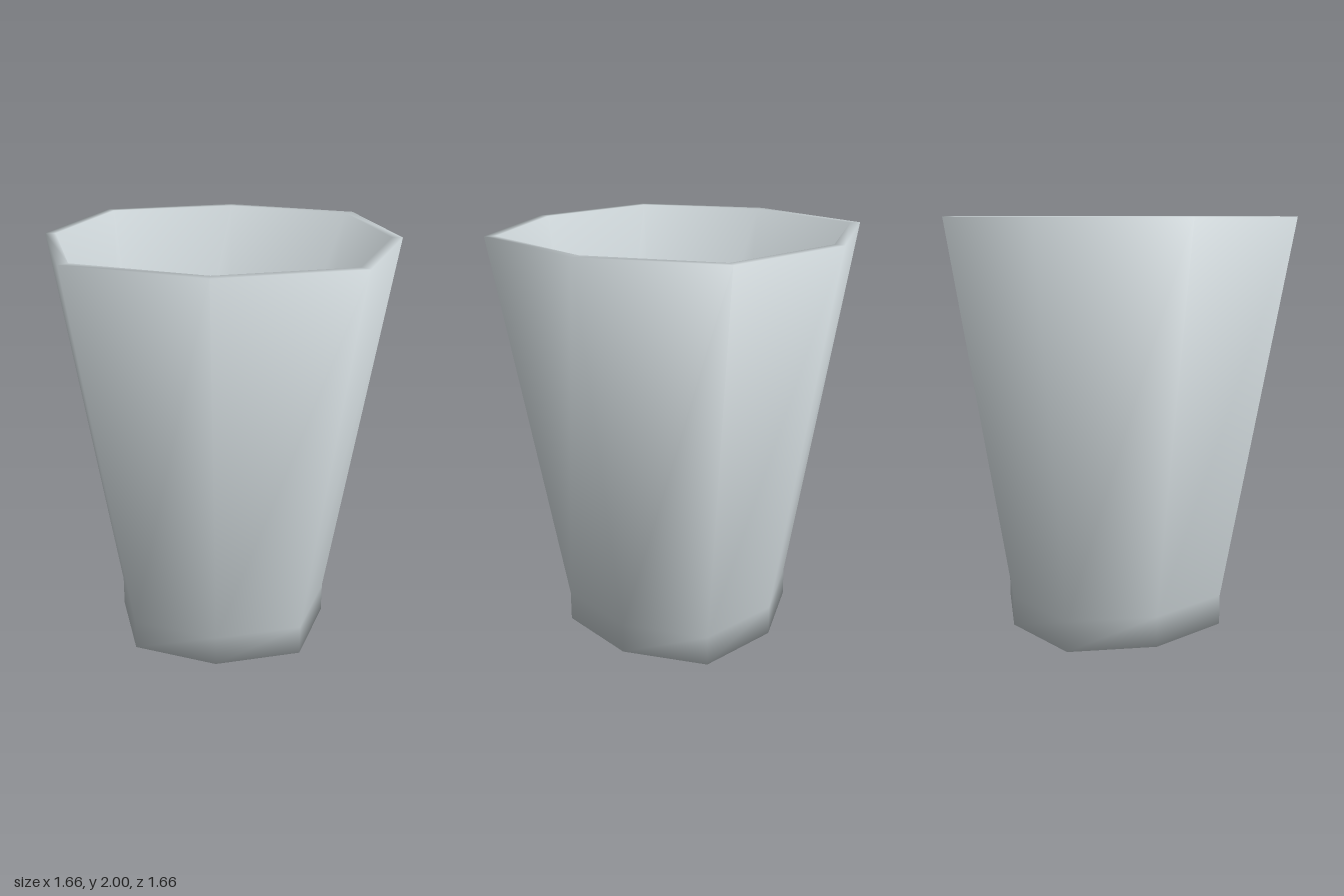
import * as THREE from 'three';

// Each ring: height, radius on the axes, offset of the diagonal corners
const RINGS = [
  [0, 0.53, 0.41], // underside edge
  [0.15, 0.53, 0.41], // top of the straight foot
  [2, 0.83, 0.637], // outer rim
  [2, 0.78, 0.6], // inner rim
  [0.15, 0.485, 0.375], // inner top of the foot
  [0.04, 0.49, 0.38], // inner floor edge
];
const SIDES = 8;

// Eight-sided closed shell, shaded smoothly over every edge
function cupGeometry() {
  const points = [];
  for (const [y, axis, diagonal] of RINGS) {
    for (let j = 0; j < SIDES; j++) {
      const a = (j / SIDES) * Math.PI * 2;
      const r = j % 2 ? diagonal * Math.SQRT2 : axis;
      points.push(new THREE.Vector3(Math.sin(a) * r, y, Math.cos(a) * r));
    }
  }

  // underside and inner floor as single polygons, walls and rim as quads
  const last = (RINGS.length - 1) * SIDES;
  const corners = [...Array(SIDES).keys()];
  const faces = [corners.slice().reverse(), corners.map((j) => last + j)];
  for (let i = 0; i < last; i += SIDES) {
    for (const j of corners) {
      const k = (j + 1) % SIDES;
      faces.push([i + j, i + k, i + k + SIDES, i + j + SIDES]);
    }
  }

  // vertex normals weighted by the corner angle of each face
  const normals = points.map(() => new THREE.Vector3());
  const index = [];
  for (const face of faces) {
    const n = face.length;
    face.forEach((v, i) => {
      const next = points[face[(i + 1) % n]].clone().sub(points[v]);
      const prev = points[face[(i + n - 1) % n]].clone().sub(points[v]);
      const angle = next.angleTo(prev);
      normals[v].addScaledVector(next.cross(prev).normalize(), angle);
    });
    for (let i = 1; i < n - 1; i++) index.push(face[0], face[i], face[i + 1]);
  }
  normals.forEach((normal) => normal.normalize());

  const geometry = new THREE.BufferGeometry().setFromPoints(points);
  const flat = normals.flatMap((normal) => normal.toArray());
  geometry.setAttribute('normal', new THREE.Float32BufferAttribute(flat, 3));
  geometry.setIndex(index);
  return geometry;
}

export function createModel() {
  const group = new THREE.Group();
  group.name = 'cup';
  const material = new THREE.MeshStandardMaterial({ color: 0xc6ced1 });
  material.name = 'pale grey';
  const cup = new THREE.Mesh(cupGeometry(), material);
  cup.name = 'cupBody';
  group.add(cup);
  return group;
}
